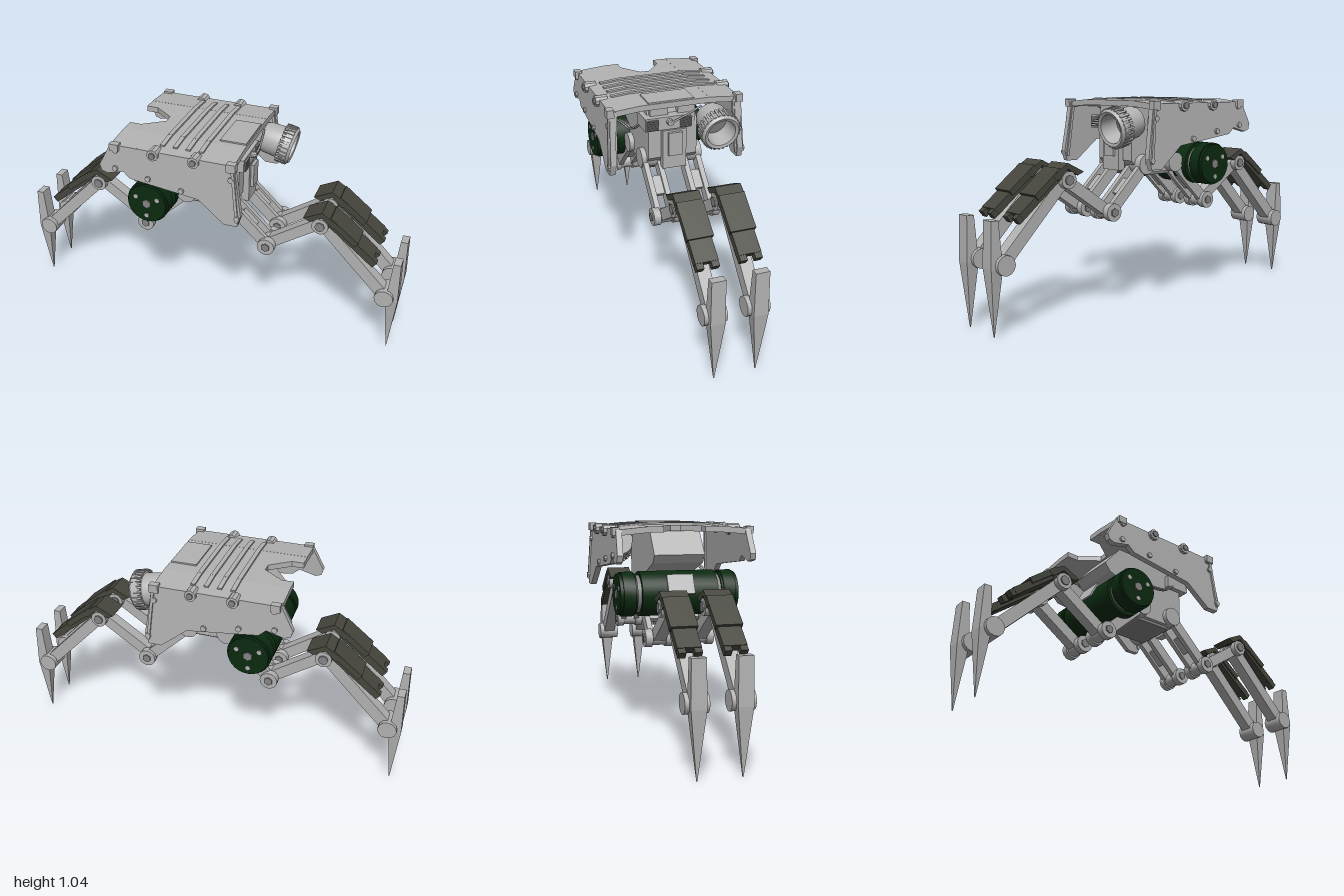
import * as THREE from 'three';
import { toCreasedNormals } from 'three/addons/utils/BufferGeometryUtils.js';

const grey = new THREE.MeshStandardMaterial({ color: 0xb2b2b2 });
grey.name = 'light grey metal';
const dark = new THREE.MeshStandardMaterial({ color: 0x46463e });
dark.name = 'dark armour';
const green = new THREE.MeshStandardMaterial({ color: 0x0b2a10 });
green.name = 'dark green';
const steel = new THREE.MeshStandardMaterial({ color: 0x858585 });
steel.name = 'mid grey';

function add(parent, name, geometry, material, x = 0, y = 0, z = 0) {
  const mesh = new THREE.Mesh(geometry, material);
  mesh.name = name;
  mesh.position.set(x, y, z);
  parent.add(mesh);
  return mesh;
}
const box = (p, name, m, sx, sy, sz, x, y, z) => add(p, name, new THREE.BoxGeometry(sx, sy, sz), m, x, y, z);

// Cylinder lying along z
function drum(p, name, m, r, depth, x, y, z, sides = 20) {
  const mesh = add(p, name, toCreasedNormals(new THREE.CylinderGeometry(r, r, depth, sides), 0.6), m, x, y, z);
  mesh.rotation.x = Math.PI / 2;
  return mesh;
}

// Box running between two points in the xy plane
function bar(p, name, m, [x1, y1], [x2, y2], thick, depth, z = 0) {
  const mesh = box(p, name, m, Math.hypot(x2 - x1, y2 - y1), thick, depth, (x1 + x2) / 2, (y1 + y2) / 2, z);
  mesh.rotation.z = Math.atan2(y2 - y1, x2 - x1);
  return mesh;
}

// Outline in xy, extruded along z and centred there
function slab(points, depth) {
  const shape = new THREE.Shape(points.map(([x, y]) => new THREE.Vector2(x, y)));
  return new THREE.ExtrudeGeometry(shape, { depth, bevelEnabled: false }).translate(0, 0, -depth / 2);
}

// Tapered spike: three box rows of [y, x min, x max, half depth]
function spike() {
  const rows = [[0.01, 0.966, 0.969, 0.002], [0.32, 0.935, 0.995, 0.035], [0.535, 0.952, 0.988, 0.033]];
  const g = new THREE.BoxGeometry(1, 1, 1, 1, 2, 1);
  const pos = g.attributes.position;
  for (let i = 0; i < pos.count; i++) {
    const [y, x0, x1, d] = rows[Math.round(pos.getY(i) * 2 + 1)];
    pos.setXYZ(i, pos.getX(i) < 0 ? x0 : x1, y, Math.sign(pos.getZ(i)) * d);
  }
  const flat = g.toNonIndexed();
  flat.computeVertexNormals();
  return flat;
}

function makeLeg() {
  const leg = new THREE.Group();
  const hip = [0.1, 0.72], low = [0.325, 0.505], knee = [0.588, 0.683], ankle = [0.928, 0.335];
  // Hip link is a pair of rails
  for (const s of [-1, 1]) {
    bar(leg, 'hipRail', grey, hip, low, 0.055, 0.026, s * 0.036);
    drum(leg, 'lowerJointCap', grey, 0.044, 0.035, ...low, s * 0.05);
    drum(leg, 'lowerJointBolt', steel, 0.022, 0.012, ...low, s * 0.068, 6);
    drum(leg, 'kneeCap', grey, 0.041, 0.03, ...knee, s * 0.046);
    drum(leg, 'kneeBolt', steel, 0.024, 0.012, ...knee, s * 0.062, 8);
  }
  drum(leg, 'hipJoint', grey, 0.05, 0.11, ...hip, 0);
  drum(leg, 'lowerJoint', grey, 0.036, 0.07, ...low, 0);
  drum(leg, 'kneeJoint', grey, 0.034, 0.07, ...knee, 0);
  bar(leg, 'hipCrossPiece', grey, [0.18, 0.644], [0.25, 0.577], 0.03, 0.05);
  bar(leg, 'thigh', grey, low, knee, 0.056, 0.058);
  bar(leg, 'shin', grey, knee, ankle, 0.06, 0.062);
  drum(leg, 'ankle', grey, 0.047, 0.108, ...ankle, 0, 12);
  add(leg, 'footSpike', spike(), grey);
  // Shin armour and knee guard
  bar(leg, 'shinArmour', dark, [0.625, 0.715], [0.845, 0.54], 0.036, 0.108);
  bar(leg, 'shinArmourRidge', dark, [0.63, 0.73], [0.77, 0.619], 0.03, 0.124);
  for (const s of [-1, 1]) bar(leg, 'shinArmourProng', dark, [0.82, 0.557], [0.865, 0.522], 0.034, 0.034, s * 0.036);
  add(leg, 'kneeGuard', slab([[0.505, 0.717], [0.595, 0.762], [0.68, 0.708], [0.65, 0.685], [0.595, 0.735], [0.54, 0.702]], 0.126), dark);
  return leg;
}

function makeShell() {
  const shell = new THREE.Group();
  // Roof: notched centre panel with sloping sides
  const centre = slab([[-0.41, -0.17], [0.21, -0.17], [0.21, 0.17], [-0.41, 0.17], [-0.41, 0.1],
    [-0.35, 0.1], [-0.25, 0.025], [-0.25, -0.025], [-0.35, -0.1], [-0.41, -0.1]], 0.028);
  add(shell, 'roofCentre', centre.rotateX(Math.PI / 2), grey, 0, 1.024, 0);
  const outline = [[-0.41, 1.025], [-0.47, 0.91], [-0.46, 0.88], [-0.43, 0.87], [-0.345, 0.893], [-0.31, 0.862],
    [0.04, 0.82], [0.17, 0.715], [0.235, 0.715], [0.252, 0.77], [0.212, 1.025]];
  for (const s of [-1, 1]) {
    const roof = box(shell, 'roofSide', grey, 0.62, 0.028, 0.15, -0.1, 1.018, s * 0.242);
    roof.rotation.x = s * 0.09;
    const side = new THREE.Group();
    side.name = 'sidePanel';
    add(side, 'panel', slab(outline, 0.028), grey);
    for (const [x, y] of [[-0.38, 1.0], [-0.385, 0.905], [-0.215, 0.88], [-0.045, 0.85], [0.19, 1.005], [0.2, 0.955], [0.235, 0.76]])
      drum(side, 'panelBolt', grey, 0.014, 0.014, x, y, s * 0.018, 8);
    bar(side, 'frontFlange', grey, [0.235, 0.74], [0.205, 1.01], 0.014, 0.045);
    side.position.z = s * 0.319;
    // Panels splay outward slightly at the bottom
    side.rotation.x = -s * 0.05;
    side.position.y += 0.0012;
    side.position.z += s * 0.045;
    shell.add(side);
    for (const x of [-0.185, 0.018]) {
      drum(shell, 'roofLug', grey, 0.028, 0.06, x, 1.014, s * 0.315, 10);
      drum(shell, 'roofLugBolt', steel, 0.016, 0.01, x, 1.014, s * 0.348, 8);
    }
    box(shell, 'cornerClip', grey, 0.045, 0.04, 0.035, 0.2, 1.018, s * 0.325);
    box(shell, 'cornerClip', grey, 0.045, 0.035, 0.035, -0.385, 1.018, s * 0.325);
  }
  // Ribs and front hatch
  for (const x of [-0.165, -0.1, -0.035, 0.03]) {
    box(shell, 'roofRib', grey, 0.022, 0.012, 0.34, x, 1.041, 0);
    for (const s of [-1, 1]) {
      const end = box(shell, 'roofRibEnd', grey, 0.022, 0.012, 0.1, x, 1.036, s * 0.218);
      end.rotation.x = s * 0.09;
    }
  }
  box(shell, 'roofHatch', grey, 0.13, 0.008, 0.23, 0.14, 1.041, 0.02);
  return shell;
}

// Wide-mouthed barrel with lugs round its rim
function makeBarrel() {
  const barrel = new THREE.Group();
  const profile = [[0, 0], [0.07, 0], [0.078, 0.02], [0.082, 0.1], [0.095, 0.115], [0.097, 0.15], [0.085, 0.165], [0.07, 0.16], [0.062, 0.06], [0, 0.06]];
  const lathe = new THREE.LatheGeometry(profile.map(([r, y]) => new THREE.Vector2(r, y)), 32);
  add(barrel, 'barrelBody', toCreasedNormals(lathe, 0.5), grey);
  for (let i = 0; i < 28; i++) {
    const a = (i / 28) * Math.PI * 2;
    const lug = box(barrel, 'barrelLug', grey, 0.01, 0.055, 0.011, Math.cos(a) * 0.095, 0.125, Math.sin(a) * 0.095);
    lug.rotation.y = -a;
  }
  add(barrel, 'barrelLens', new THREE.CylinderGeometry(0.061, 0.061, 0.006, 28), steel, 0, 0.064, 0);
  barrel.position.set(0.195, 0.94, -0.18);
  barrel.rotation.z = -Math.PI / 2 - 0.22;
  return barrel;
}

function makeTank() {
  const tank = new THREE.Group();
  drum(tank, 'tankCore', green, 0.109, 0.375, 0, 0, 0, 28);
  for (const s of [-1, 1]) {
    drum(tank, 'tankCollar', steel, 0.09, 0.03, 0, 0, s * 0.2, 28);
    drum(tank, 'tankCap', green, 0.1, 0.085, 0, 0, s * 0.25, 28);
    drum(tank, 'tankCapRim', green, 0.108, 0.06, 0, 0, s * 0.247, 28);
    drum(tank, 'tankHub', steel, 0.024, 0.01, 0, 0, s * 0.293, 6);
    for (let i = 0; i < 3; i++) {
      const a = i * 2.094 + 0.5;
      drum(tank, 'tankBolt', grey, 0.012, 0.008, Math.cos(a) * 0.065, Math.sin(a) * 0.065, s * 0.293, 8);
    }
  }
  // Pale plate on the outer face of the tank
  const plate = box(tank, 'tankPlate', grey, 0.008, 0.1, 0.13, -0.1, 0.052, 0);
  plate.rotation.z = -0.48;
  tank.position.set(-0.25, 0.71, 0);
  return tank;
}

export function createModel() {
  const model = new THREE.Group();
  const put = (name, part) => { part.name = name; model.add(part); return part; };
  put('shell', makeShell());
  put('barrel', makeBarrel());
  put('tank', makeTank());

  // Central hull
  add(model, 'hull', slab([[-0.33, 0.9], [-0.3, 0.86], [-0.14, 0.8], [-0.13, 0.69], [-0.11, 0.675], [0.11, 0.675],
    [0.17, 0.74], [0.17, 0.89], [0.13, 1.01], [-0.24, 1.01]], 0.25), grey);
  add(model, 'hullKeel', slab([[-0.125, 0.68], [-0.095, 0.66], [0.105, 0.66], [0.125, 0.68]], 0.21), steel);
  box(model, 'frontColumn', grey, 0.04, 0.2, 0.12, 0.18, 0.79, 0);
  box(model, 'frontColumnCover', grey, 0.03, 0.12, 0.07, 0.2, 0.82, 0);
  for (const s of [-1, 1]) box(model, 'frontStrut', grey, 0.04, 0.13, 0.09, 0.15, 0.945, s * 0.07);

  // Sensor pod with cooling fins, lever and cables
  box(model, 'sensorPod', grey, 0.13, 0.065, 0.23, 0.135, 0.928, 0.035);
  for (let i = 0; i < 5; i++) for (const z of [0.115, -0.055])
    box(model, 'podFin', steel, 0.012, 0.006, 0.06, 0.203, 0.905 + i * 0.011, z);
  drum(model, 'leverPivot', grey, 0.016, 0.03, 0.21, 0.937, 0.028, 10).rotation.set(0, 0, Math.PI / 2);
  const tube = (name, pts, r) => add(model, name, new THREE.TubeGeometry(
    new THREE.CatmullRomCurve3(pts.map(p => new THREE.Vector3(...p))), 12, r, 6), grey);
  tube('lever', [[0.222, 0.937, 0.028], [0.222, 0.968, -0.05], [0.21, 1.0, -0.13]], 0.005);
  for (const d of [0, 0.014])
    tube('cable', [[0.1, 0.9, 0.14 + d], [0.03, 0.85, 0.155 + d], [-0.1, 0.83, 0.16 + d], [-0.24, 0.8, 0.155 + d]], 0.005);

  // Four legs, turned round for the far side
  for (const z of [0.095, -0.108]) for (const turn of [0, Math.PI]) {
    const leg = put('leg', makeLeg());
    leg.position.z = z;
    leg.rotation.y = turn;
  }
  return model;
}
